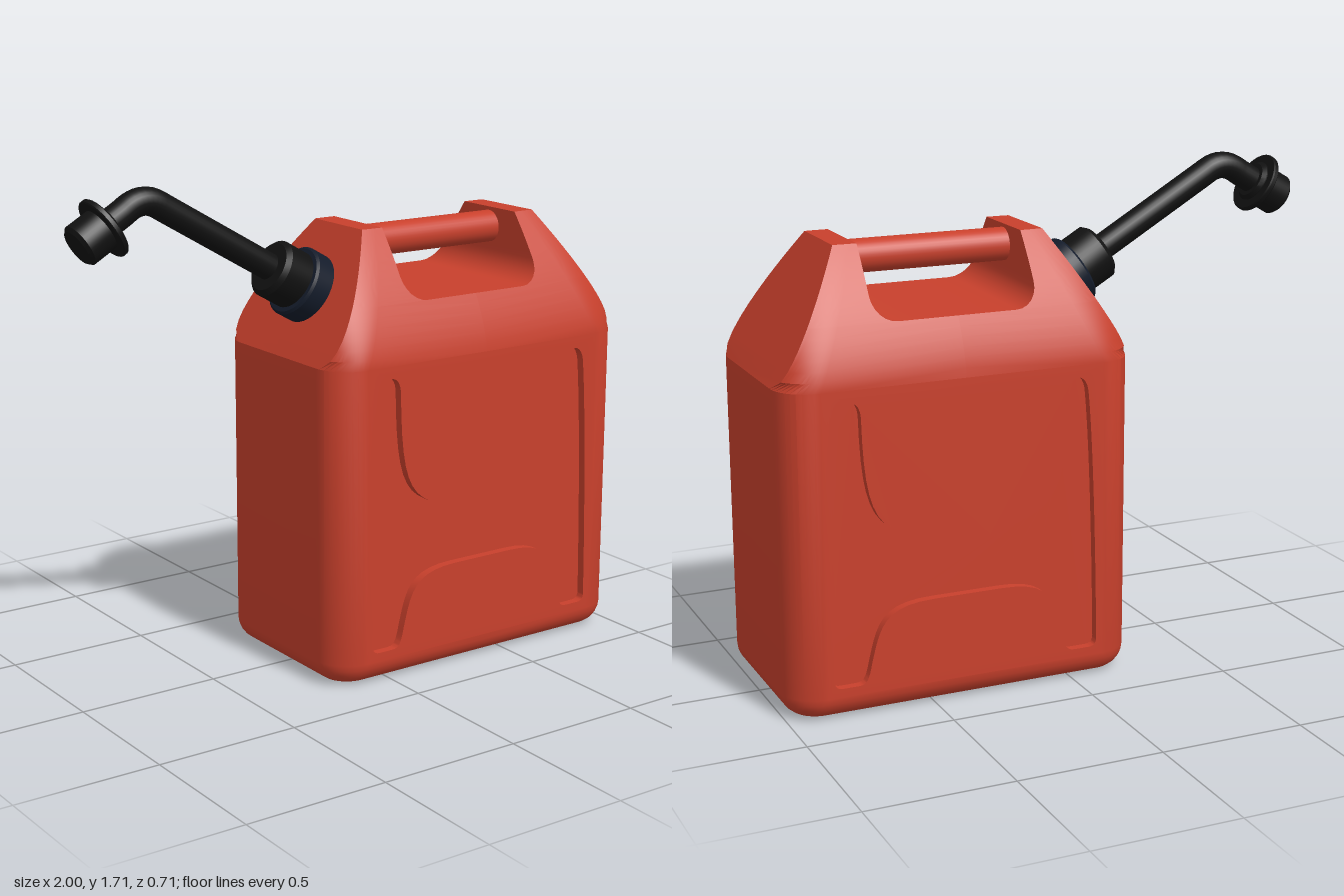
import * as THREE from 'three';
import { mergeGeometries, toCreasedNormals } from 'three/addons/utils/BufferGeometryUtils.js';

const CX = 0.385;                       // centre of the can in x
const HALF_W = 0.615, HALF_D = 0.355;   // half width and half depth
const R = 0.125, FOOT_R = 0.08;         // corner radius, bottom edge radius
const SHOULDER = 1.1, FLOOR = 1.29, TOP = 1.52;
const ARC = 10;                         // segments per corner

const red = new THREE.MeshStandardMaterial({ color: 0xc8402c });
const black = new THREE.MeshStandardMaterial({ color: 0x111111 });
const navy = new THREE.MeshStandardMaterial({ color: 0x141c2b });

// Cross-section of the +x half at height y: front inner edge, around the corner, back inner edge
function section(y, inset = 0, inner = 0) {
  const t = Math.max(0, (y - SHOULDER) / (TOP - SHOULDER));
  const depth = HALF_D - inset - 0.215 * t ** 1.5;
  const rx = R - inset + 0.18 * t, rz = R - inset;
  const start = Math.acos(1 - 0.25 * t / rx);   // where the sloped shoulder cuts the corner
  const front = [[inner, depth]];
  for (let i = 0; i <= ARC; i++) {
    const a = THREE.MathUtils.lerp(Math.PI / 2, start, i / ARC);
    front.push([HALF_W - inset - rx * (1 - Math.cos(a)), depth - rz * (1 - Math.sin(a))]);
  }
  const back = front.map(([u, z]) => [u, -z]).reverse();
  return [...front, ...back].map(([u, z]) => [u, y, z]);
}

// Outline of the H-shaped recess, centred on x = 0
function recessOutline() {
  const p = new THREE.Path();
  p.moveTo(0, 0.37);
  p.lineTo(0.12, 0.37);
  p.bezierCurveTo(0.3, 0.37, 0.31, 0.3, 0.34, 0.18);
  p.bezierCurveTo(0.352, 0.12, 0.36, 0.11, 0.39, 0.11);
  p.lineTo(0.44, 0.11);
  p.quadraticCurveTo(0.47, 0.11, 0.469, 0.14);
  p.bezierCurveTo(0.463, 0.5, 0.45, 0.85, 0.433, 1.01);
  p.bezierCurveTo(0.425, 1.075, 0.365, 1.075, 0.36, 1.01);
  p.bezierCurveTo(0.355, 0.72, 0.325, 0.64, 0.2, 0.6);
  p.quadraticCurveTo(0.1, 0.557, 0, 0.555);
  const half = p.getPoints(10);
  const mirrored = half.slice(1, -1).reverse().map(v => new THREE.Vector2(-v.x, v.y));
  return [...half, ...mirrored];
}

function bodyGeometry() {
  const pos = [];
  const tri = (a, b, c) => {
    pos.push(...a, ...b, ...c);
    for (const [u, y, z] of [a, c, b]) pos.push(-u, y, z);   // mirrored half
  };
  const quad = (a, b, c, d) => { tri(a, b, c); tri(a, c, d); };
  const cap = (s, up) => {
    const n = s.length;
    for (let i = 0; i < n / 2 - 1; i++) {
      const q = [s[i], s[i + 1], s[n - 2 - i], s[n - 1 - i]];
      quad(...(up ? q : q.reverse()));
    }
  };
  const loft = (rows, closed, gap = -1) => {
    for (let j = 0; j < rows.length - 1; j++) {
      const a = rows[j], b = rows[j + 1], n = a.length;
      for (let i = 0; i < (closed ? n : n - 1); i++) {
        if (j === gap && (i === 0 || i === n - 2)) continue;
        const k = (i + 1) % n;
        quad(a[i], a[k], b[k], b[i]);
      }
    }
  };

  // Tank, leaving a gap for the recessed panels
  const tank = [];
  for (let i = 0; i <= 6; i++) {
    const a = i / 6 * Math.PI / 2;
    tank.push(section(FOOT_R * (1 - Math.cos(a)), FOOT_R * (1 - Math.sin(a))));
  }
  for (let i = 0; i <= 6; i++) tank.push(section(THREE.MathUtils.lerp(SHOULDER, FLOOR, i / 6)));
  loft(tank, false, 6);
  cap(tank[0], false);

  // Horns either side of the hand opening
  const horn = [];
  for (let i = 0; i <= 6; i++) {
    const a = i / 6 * Math.PI / 2;
    horn.push(section(FLOOR + 0.08 * (1 - Math.cos(a)), 0, 0.205 + 0.08 * Math.sin(a)));
  }
  for (let i = 1; i <= 6; i++) horn.push(section(THREE.MathUtils.lerp(FLOOR + 0.08, TOP, i / 6), 0, 0.285));
  loft(horn, true);
  cap(horn[horn.length - 1], true);

  // Floor of the hand opening
  const zf = horn[0][0][2];
  quad([0, FLOOR, zf], [0.205, FLOOR, zf], [0.205, FLOOR, -zf], [0, FLOOR, -zf]);

  const shell = new THREE.BufferGeometry();
  shell.setAttribute('position', new THREE.Float32BufferAttribute(pos, 3));

  // Front and back panels with the H-shaped recess
  const outline = recessOutline(), e = HALF_W - R, deep = 0.03;
  const plate = new THREE.Shape([[-e, FOOT_R], [e, FOOT_R], [e, SHOULDER], [-e, SHOULDER]]
    .map(p => new THREE.Vector2(...p)));
  plate.holes.push(new THREE.Path(outline));
  const parts = [shell];
  for (const turn of [0, Math.PI]) {
    const panel = new THREE.ExtrudeGeometry(plate, { depth: deep, bevelEnabled: false });
    const bed = new THREE.ShapeGeometry(new THREE.Shape(outline)).toNonIndexed();
    for (const g of [panel, bed]) {
      g.translate(0, 0, HALF_D - deep).rotateY(turn);
      g.deleteAttribute('uv');
      g.deleteAttribute('normal');
      parts.push(g);
    }
  }
  return toCreasedNormals(mergeGeometries(parts), 0.36);
}

export function createModel() {
  const model = new THREE.Group();
  const add = (name, geometry, material) => {
    const mesh = new THREE.Mesh(geometry, material);
    mesh.name = name;
    model.add(mesh);
    return mesh;
  };

  add('canBody', bodyGeometry(), red).position.x = CX;

  const handle = add('handleBar', new THREE.CylinderGeometry(0.056, 0.056, 0.6, 32), red);
  handle.rotation.z = Math.PI / 2;
  handle.position.set(0.38, 1.452, 0);

  // Turned disc with softened rims, running from one point to another
  const turned = (name, from, to, radius, bevel, material) => {
    const a = new THREE.Vector3(...from), axis = new THREE.Vector3(...to).sub(a), h = axis.length();
    const profile = [[0, 0], [radius - bevel, 0], [radius, bevel], [radius, h - bevel], [radius - bevel, h], [0, h]]
      .map(p => new THREE.Vector2(...p));
    const mesh = add(name, toCreasedNormals(new THREE.LatheGeometry(profile, 40), 0.5), material);
    mesh.position.copy(a);
    mesh.quaternion.setFromUnitVectors(new THREE.Vector3(0, 1, 0), axis.normalize());
  };

  // Spout: collar, nut, bent tube and tip
  turned('spoutCollar', [-0.085, 1.303, 0], [-0.166, 1.35, 0], 0.123, 0.008, navy);
  turned('spoutNut', [-0.15, 1.341, 0], [-0.26, 1.405, 0], 0.1, 0.015, black);

  const path = new THREE.CurvePath();
  const v = (x, y) => new THREE.Vector3(x, y, 0);
  path.add(new THREE.LineCurve3(v(-0.24, 1.393), v(-0.665, 1.643)));
  path.add(new THREE.QuadraticBezierCurve3(v(-0.665, 1.643), v(-0.732, 1.69), v(-0.80, 1.637)));
  path.add(new THREE.LineCurve3(v(-0.80, 1.637), v(-0.9, 1.578)));
  add('spoutTube', new THREE.TubeGeometry(path, 48, 0.046, 24), black);

  turned('tipFlange', [-0.863, 1.599, 0], [-0.881, 1.588, 0], 0.107, 0.004, black);
  turned('tipCap', [-0.85, 1.607, 0], [-0.966, 1.54, 0], 0.073, 0.012, black);

  return model;
}
